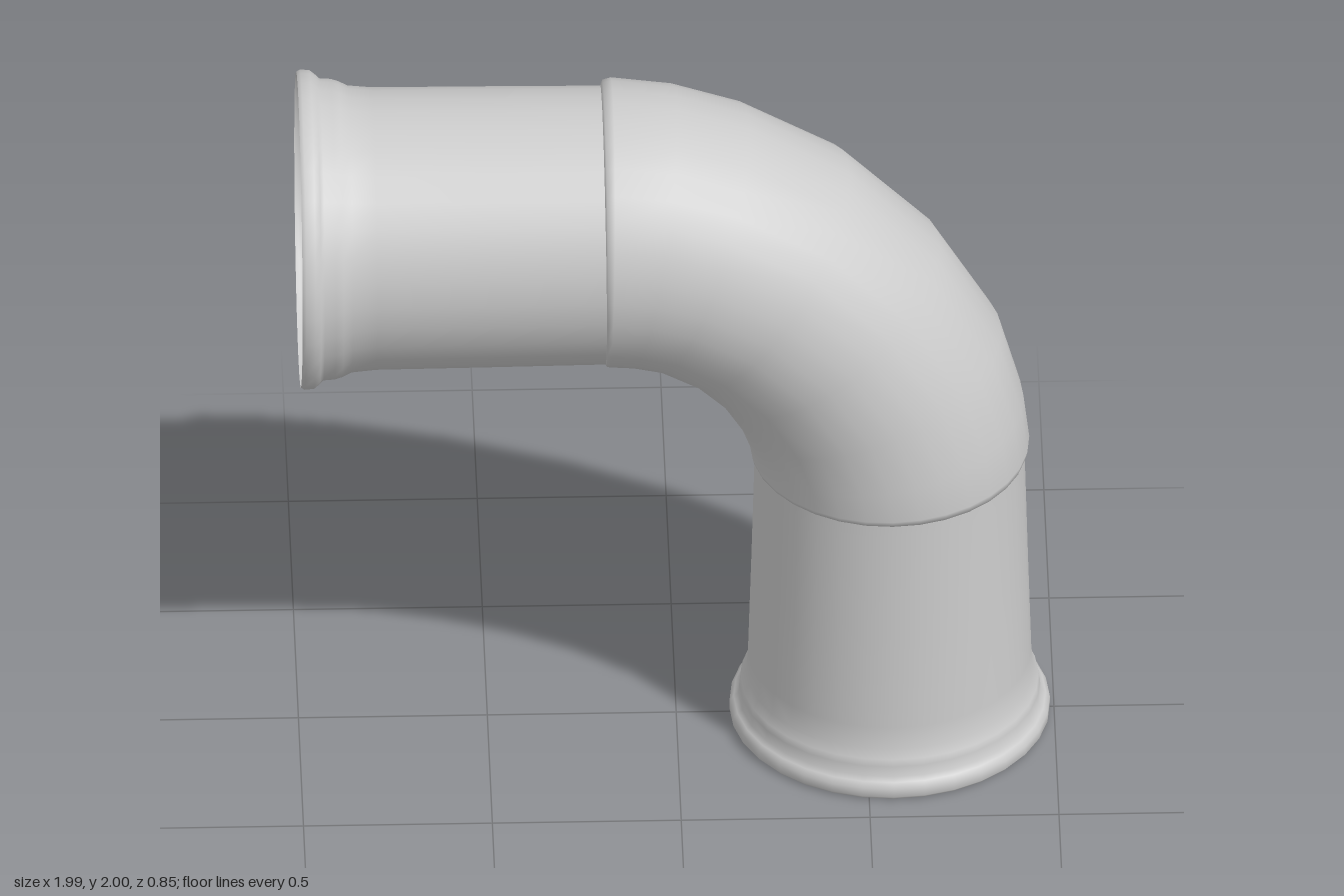
import * as THREE from 'three';

const SIDES = 32;
const material = new THREE.MeshStandardMaterial({ color: 0xcccccc, side: THREE.DoubleSide });

// Open pipe with a stepped flange; profile runs from the mouth to the joint as [radius, distance]
function flangedPipe(name, profile) {
  const points = profile.map(([r, d]) => new THREE.Vector2(r, d));
  const mesh = new THREE.Mesh(new THREE.LatheGeometry(points, SIDES), material);
  mesh.name = name;
  return mesh;
}

// Quarter bend: stations are [angle, inner radius, outer radius, half depth] about the bend centre
function bendGeometry(stations, cx, cy) {
  const positions = [], index = [];
  for (const [deg, inner, outer, depth] of stations) {
    const a = THREE.MathUtils.degToRad(deg);
    for (let j = 0; j < SIDES; j++) {
      const t = (j / SIDES) * Math.PI * 2;
      const r = (inner + outer) / 2 + ((outer - inner) / 2) * Math.cos(t);
      positions.push(cx + r * Math.cos(a), cy + r * Math.sin(a), depth * Math.sin(t));
    }
  }
  for (let i = 0; i < stations.length - 1; i++) {
    for (let j = 0; j < SIDES; j++) {
      const k = (j + 1) % SIDES;
      const a = i * SIDES + j, b = i * SIDES + k;
      const c = a + SIDES, d = b + SIDES;
      index.push(a, c, b, b, c, d);
    }
  }
  const geometry = new THREE.BufferGeometry();
  geometry.setAttribute('position', new THREE.Float32BufferAttribute(positions, 3));
  geometry.setIndex(index);
  geometry.computeVertexNormals();
  return geometry;
}

export function createModel() {
  const group = new THREE.Group();
  group.name = 'pipeElbow';

  // Vertical leg, mouth on the ground
  const lower = flangedPipe('lowerPipe', [
    [0.415, 0], [0.424, 0.01], [0.424, 0.035], [0.413, 0.05], [0.4, 0.06], [0.398, 0.09],
    [0.394, 0.11], [0.38, 0.135], [0.375, 0.2], [0.366, 0.5], [0.358, 0.8], [0.357, 0.87],
  ]);
  lower.position.set(0.565, 0, 0);
  group.add(lower);

  // Horizontal leg, mouth facing -x
  const upper = flangedPipe('upperPipe', [
    [0.418, 0], [0.424, 0.01], [0.422, 0.035], [0.41, 0.05], [0.4, 0.06], [0.398, 0.09],
    [0.392, 0.11], [0.38, 0.135], [0.374, 0.2], [0.372, 0.5], [0.369, 0.83],
  ]);
  upper.rotation.z = -Math.PI / 2;
  upper.position.set(-1, 1.576, 0);
  group.add(upper);

  // Faceted-length bend with a small rounded lip at both ends
  const bend = new THREE.Mesh(bendGeometry([
    [90.3, 0.355, 1.098, 0.368], [90, 0.352, 1.112, 0.38], [88.8, 0.35, 1.119, 0.383],
    [80, 0.352, 1.112, 0.382], [69.5, 0.357, 1.1, 0.38], [53.5, 0.358, 1.094, 0.378],
    [36, 0.363, 1.096, 0.377], [19.5, 0.372, 1.113, 0.378], [8, 0.381, 1.12, 0.38],
    [1.2, 0.385, 1.125, 0.38], [0, 0.387, 1.119, 0.376], [-0.3, 0.396, 1.108, 0.36],
  ], -0.19, 0.85), material);
  bend.name = 'bend';
  group.add(bend);

  return group;
}
